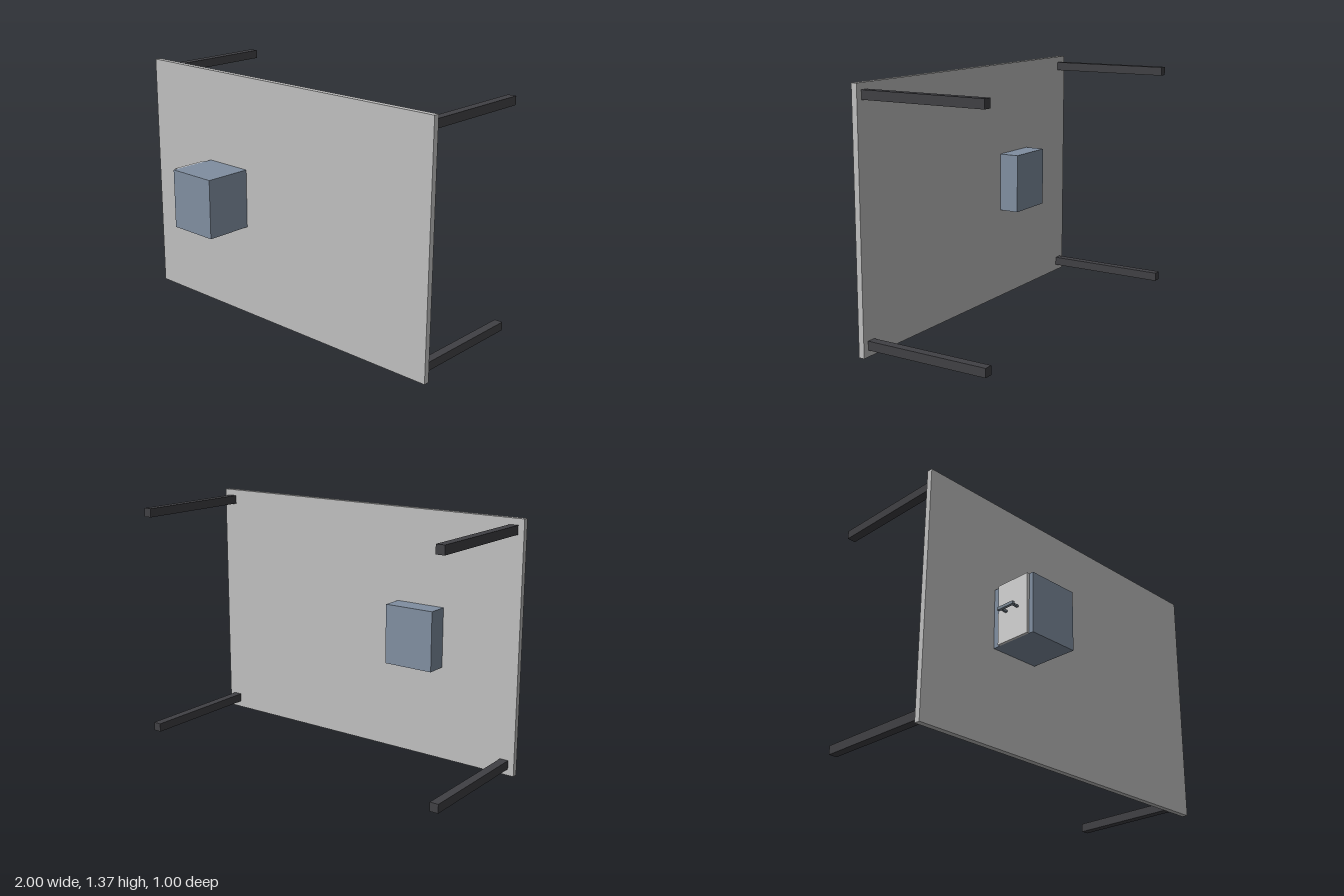
import * as THREE from 'three';

function material(name, color) {
  const m = new THREE.MeshStandardMaterial({ color });
  m.name = name;
  return m;
}

export function createModel() {
  const group = new THREE.Group();
  const panelGrey = material('panel grey', 0xbfbfbf);
  const legBlack = material('leg charcoal', 0x404044);
  const boxBlue = material('slate blue', 0x808ea0);
  const doorGrey = material('door light grey', 0xd2d2d2);
  const handleGrey = material('handle grey', 0x7c8894);

  // Box given by its lower and upper corners
  function box(name, mat, [x0, y0, z0], [x1, y1, z1]) {
    const mesh = new THREE.Mesh(new THREE.BoxGeometry(x1 - x0, y1 - y0, z1 - z0), mat);
    mesh.position.set((x0 + x1) / 2, (y0 + y1) / 2, (z0 + z1) / 2);
    mesh.name = name;
    group.add(mesh);
  }

  // Upright panel
  box('panel', panelGrey, [-1, 0, 0.198], [1, 1.367, 0.23]);

  // Four square legs reaching back from the corners
  for (const x of [-0.942, 0.942]) {
    for (const y of [0.059, 1.309]) {
      box('leg', legBlack, [x - 0.024, y - 0.024, -0.5], [x + 0.024, y + 0.024, 0.198]);
    }
  }

  // Cabinet passing through the panel, with a door on its right side
  box('cabinet', boxBlue, [-0.547, 0.52, 0.083], [-0.256, 0.851, 0.5]);
  box('door', doorGrey, [-0.562, 0.52, 0.273], [-0.547, 0.851, 0.475]);

  // Bar handle on two posts
  box('handleBar', handleGrey, [-0.614, 0.677, 0.318], [-0.599, 0.693, 0.425]);
  for (const z of [0.332, 0.411]) {
    box('handlePost', handleGrey, [-0.599, 0.68, z - 0.006], [-0.562, 0.69, z + 0.006]);
  }
  return group;
}
